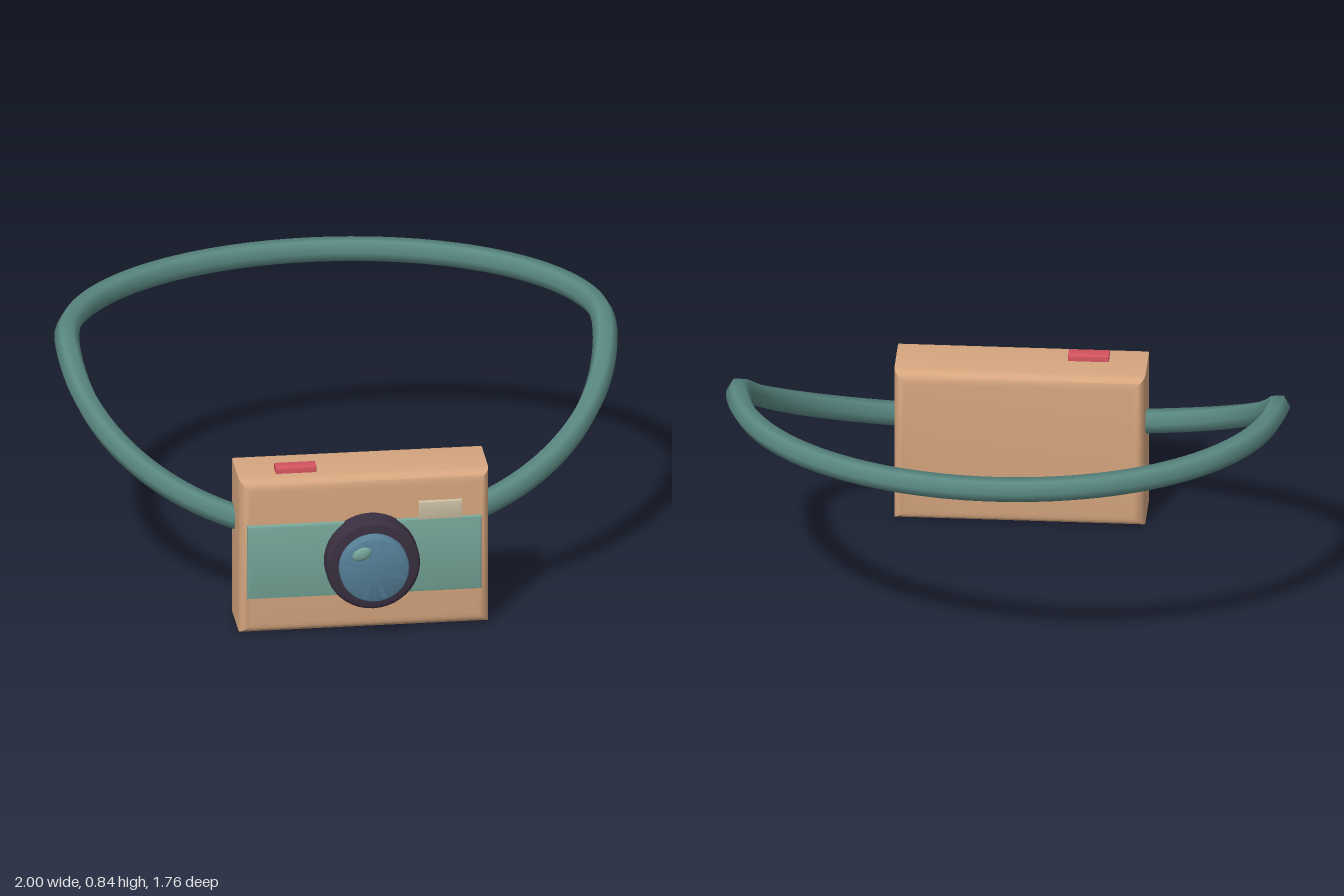
import * as THREE from 'three';
import { toCreasedNormals } from 'three/addons/utils/BufferGeometryUtils.js';
import { ParametricGeometry } from 'three/addons/geometries/ParametricGeometry.js';

const material = (name, color) => {
  const m = new THREE.MeshStandardMaterial({ color });
  m.name = name;
  return m;
};

// Rectangular slab with square outline corners and rounded front and back rims
function slab(w, h, d, r, segments = 2) {
  const x = w / 2 - r, y = h / 2 - r;
  const shape = new THREE.Shape([
    new THREE.Vector2(-x, -y), new THREE.Vector2(x, -y),
    new THREE.Vector2(x, y), new THREE.Vector2(-x, y),
  ]);
  const g = new THREE.ExtrudeGeometry(shape, {
    depth: d - 2 * r, bevelSize: r, bevelThickness: r, bevelSegments: segments,
  });
  g.translate(0, 0, r - d / 2);
  return toCreasedNormals(g, 0.7);
}

// Disc facing +z with a rounded rim, from z = 0 to z = depth
function disc(radius, depth, r) {
  const profile = [new THREE.Vector2(0, 0), new THREE.Vector2(radius, 0)];
  for (let i = 0; i <= 4; i++) {
    const a = (i / 4) * Math.PI / 2;
    profile.push(new THREE.Vector2(radius - r + r * Math.cos(a), depth - r + r * Math.sin(a)));
  }
  profile.push(new THREE.Vector2(0, depth));
  const g = new THREE.LatheGeometry(profile, 40);
  g.rotateX(Math.PI / 2);
  return toCreasedNormals(g, 0.7);
}

// Neck strap: an oval loop, level at the back and sloping down to the body
function strapPoint(v) {
  const a = (2 * v - 1) * 2.698;
  const z = -0.1 - 0.735 * Math.cos(a);
  let y = 0.8;
  if (z > 0) y = 0.736 - 0.64 * z;
  else if (z > -0.2) y = 0.8 - 1.6 * (z + 0.2) ** 2;
  return new THREE.Vector3(0.955 * Math.sin(a), y, z);
}

function strapGeometry(radius) {
  const upAxis = new THREE.Vector3(0, 1, 0);
  return new ParametricGeometry((u, v, target) => {
    const tangent = strapPoint(v + 0.001).sub(strapPoint(v - 0.001)).normalize();
    const side = tangent.clone().cross(upAxis).normalize();
    const up = side.clone().cross(tangent);
    const a = -u * Math.PI * 2;
    target.copy(strapPoint(v))
      .addScaledVector(side, radius * Math.cos(a))
      .addScaledVector(up, radius * Math.sin(a));
  }, 6, 110);
}

export function createModel() {
  const group = new THREE.Group();
  const tan = material('tan', 0xd6a67f);
  const teal = material('teal', 0x76a699);
  const strapGreen = material('strapGreen', 0x5a8882);
  const darkPlum = material('darkPlum', 0x3a2f40);
  const blue = material('blue', 0x557f97);
  const cream = material('cream', 0xcbbfa3);
  const red = material('red', 0xd4545f);

  const add = (name, geometry, mat, x, y, z) => {
    const mesh = new THREE.Mesh(geometry, mat);
    mesh.name = name;
    mesh.position.set(x, y, z);
    group.add(mesh);
    return mesh;
  };

  // Body and front trim
  add('body', slab(0.89, 0.585, 0.265, 0.042, 5), tan, 0, 0.2925, 0.5975);
  add('frontPanel', slab(0.835, 0.28, 0.05, 0.01), teal, -0.002, 0.28, 0.72);
  add('viewfinder', slab(0.155, 0.068, 0.05, 0.004), cream, 0.268, 0.451, 0.72);
  add('shutterButton', slab(0.145, 0.05, 0.06, 0.006), red, -0.236, 0.58, 0.633);

  // Lens
  add('lensRing', disc(0.168, 0.1, 0.015), darkPlum, 0.02, 0.28, 0.717);
  add('lensGlass', disc(0.124, 0.06, 0.01), blue, 0.02, 0.28, 0.798);
  const glint = add('lensGlint', new THREE.SphereGeometry(1, 20, 12), teal, -0.027, 0.348, 0.868);
  glint.scale.set(0.036, 0.023, 0.01);
  glint.rotation.z = 0.4;

  add('neckStrap', strapGeometry(0.044), strapGreen, 0, 0, 0);
  return group;
}
